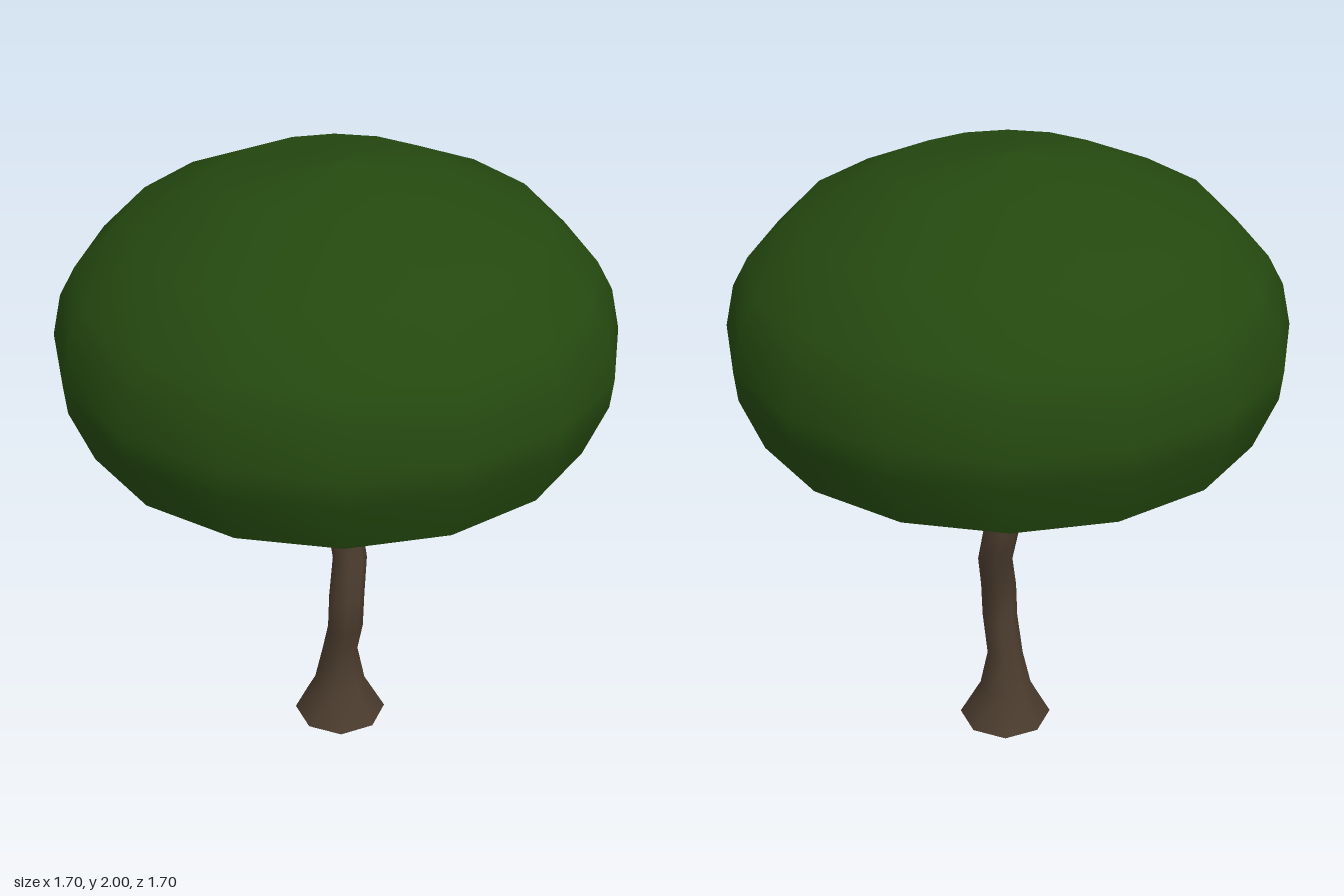
import * as THREE from 'three';

const V = (x, y, z) => new THREE.Vector3(x, y, z);
const UP = V(0, 1, 0);

// Smooth limb through rings of [x, y, z, radius]; level keeps every ring horizontal.
function limb(rings, sides, level = false) {
  const pos = [], idx = [], n = sides;
  const centres = rings.map(r => V(r[0], r[1], r[2]));
  rings.forEach((r, j) => {
    const dir = centres[Math.min(j + 1, rings.length - 1)].clone()
      .sub(centres[Math.max(j - 1, 0)]).normalize();
    const q = new THREE.Quaternion().setFromUnitVectors(UP, level ? UP : dir);
    for (let i = 0; i < n; i++) {
      const a = (i / n) * Math.PI * 2;
      const p = V(Math.cos(a) * r[3], 0, Math.sin(a) * r[3]).applyQuaternion(q).add(centres[j]);
      pos.push(p.x, p.y, p.z);
      if (j < rings.length - 1) {
        const k = (i + 1) % n, b = j * n, t = b + n;
        idx.push(b + i, t + i, b + k, b + k, t + i, t + k);
      }
    }
  });
  const g = new THREE.BufferGeometry();
  g.setAttribute('position', new THREE.Float32BufferAttribute(pos, 3));
  g.setIndex(idx);
  g.computeVertexNormals();
  return g;
}

export function createModel() {
  const model = new THREE.Group();
  const bark = new THREE.MeshStandardMaterial({ color: 0x4a3b2d });
  bark.name = 'bark brown';
  const leaf = new THREE.MeshStandardMaterial({ color: 0x24480f, side: THREE.DoubleSide });
  leaf.name = 'leaf green';
  const add = (name, geometry, material) => {
    const mesh = new THREE.Mesh(geometry, material);
    mesh.name = name;
    model.add(mesh);
    return mesh;
  };

  // Open dome of foliage
  const profile = [[0.775, 1.2], [0.842, 1.37], [0.85, 1.46], [0.82, 1.59],
    [0.77, 1.68], [0.62, 1.83], [0.335, 1.957], [0, 2]];
  add('canopy', new THREE.LatheGeometry(profile.map(p => new THREE.Vector2(...p)), 16), leaf);

  // Winding trunk with a flared foot
  add('trunk', limb([
    [0.01, 0, 0.005, 0.153], [0.01, 0.125, 0.003, 0.085], [0.012, 0.25, 0.003, 0.059],
    [-0.003, 0.375, 0.042, 0.058], [0.003, 0.5, 0.042, 0.058], [0.035, 0.625, 0.025, 0.056],
    [0.045, 0.75, -0.012, 0.057], [0.018, 0.875, -0.017, 0.058], [-0.015, 1, 0.01, 0.06],
    [-0.013, 1.125, 0.02, 0.068], [0.003, 1.22, 0.012, 0.074], [0.005, 1.29, 0.005, 0.068],
    [0.005, 1.33, 0.005, 0.004],
  ], 8, true), bark);
  const foot = add('trunkBase', new THREE.CircleGeometry(0.153, 8), bark);
  foot.rotation.x = Math.PI / 2;
  foot.position.set(0.01, 0, 0.005);

  // Two forking branches
  add('leftBranch', limb([
    [0.005, 1.22, 0.005, 0.056], [0.04, 1.32, -0.035, 0.052], [0.09, 1.44, -0.085, 0.04],
    [0.155, 1.56, -0.15, 0.03], [0.2, 1.66, -0.18, 0.02], [0.23, 1.76, -0.21, 0.003],
  ], 7), bark);
  add('rightBranch', limb([
    [-0.005, 1.22, 0.01, 0.05], [-0.04, 1.33, 0.045, 0.04], [-0.09, 1.43, 0.095, 0.035],
    [-0.1, 1.53, 0.1, 0.03], [-0.07, 1.64, 0.08, 0.02], [-0.08, 1.75, 0.09, 0.003],
  ], 7), bark);

  // Thin twigs: start, bend, tip
  const twigs = [
    [[0.15, 1.55, -0.145], [0.22, 1.57, -0.14], [0.27, 1.6, -0.12]],
    [[0.14, 1.53, -0.135], [0.19, 1.52, -0.11], [0.23, 1.54, -0.08]],
    [[0.16, 1.57, -0.155], [0.18, 1.6, -0.23], [0.2, 1.66, -0.28]],
    [[0.19, 1.63, -0.175], [0.25, 1.66, -0.16], [0.3, 1.7, -0.18]],
    [[-0.1, 1.5, 0.1], [-0.13, 1.51, 0.14], [-0.14, 1.55, 0.17]],
    [[-0.09, 1.56, 0.095], [-0.04, 1.59, 0.04], [-0.01, 1.64, 0.02]],
    [[-0.07, 1.63, 0.08], [-0.12, 1.67, 0.12], [-0.15, 1.73, 0.13]],
  ];
  twigs.forEach((t, i) => add('twig' + (i + 1),
    limb(t.map((p, j) => [...p, [0.014, 0.009, 0.002][j]]), 5), bark));

  return model;
}
